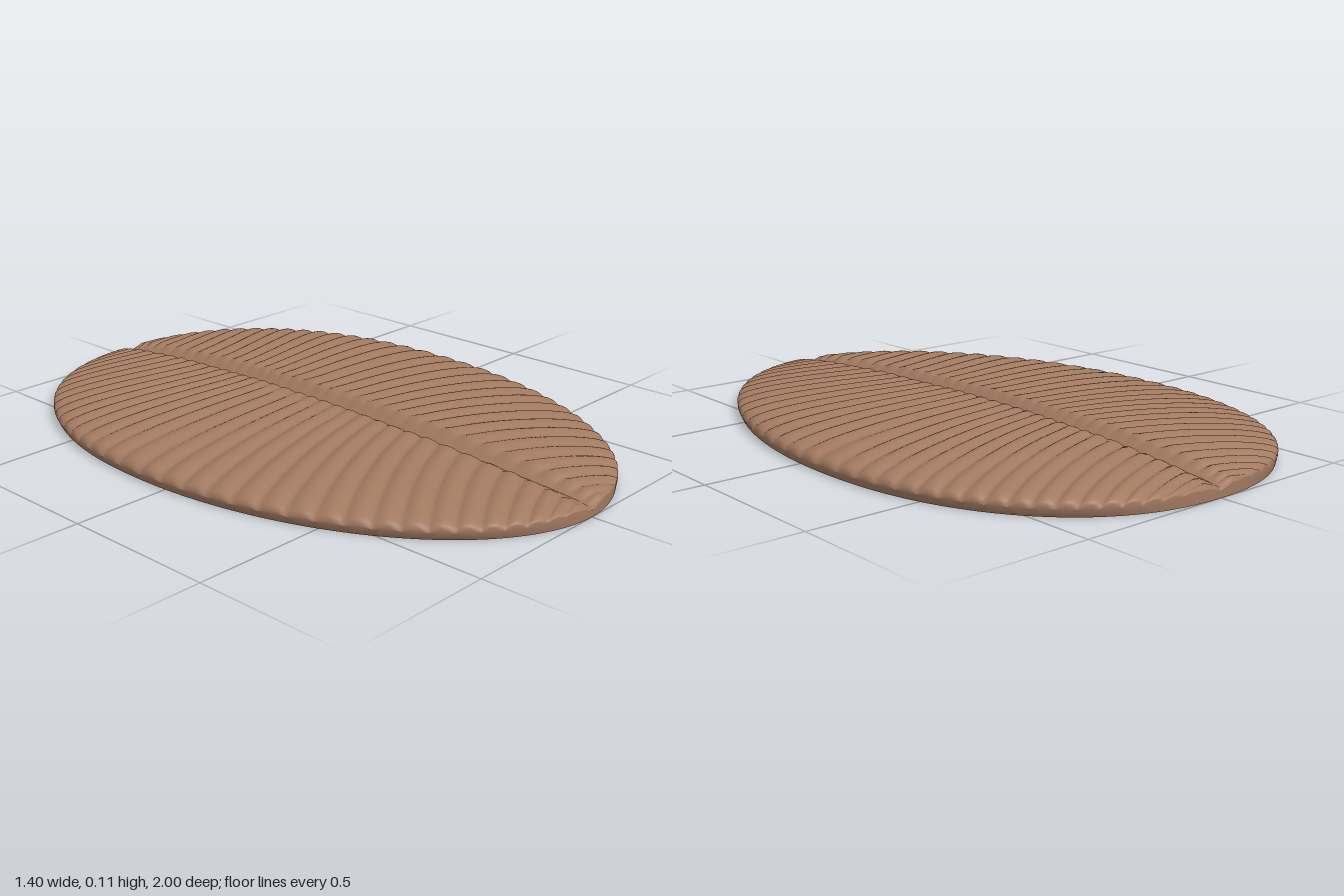
import * as THREE from 'three';

const HALF_WIDTH = 0.7, CENTRE_Z = -0.1, RIBS = 38, STEPS = 8;

// Egg outline: a longer, narrower front and a shorter, blunter back
const end = (front) => (front ? { len: 1.1, n: 1.96 } : { len: 0.9, n: 2.25 });

// Point on the plan: t runs front to back (0..1), u from midline to edge (0..1)
function plan(t, u) {
  const a = t * Math.PI, c = Math.cos(a), sign = Math.sign(c) || 1;
  const { len, n } = end(c > 0);
  const edge = Math.pow(Math.abs(c), 2 / n);
  const mid = edge * (0.62 + 0.38 * edge ** 4);
  const x = HALF_WIDTH * Math.pow(Math.max(Math.sin(a), 0), 2 / n) * u;
  // Ribs leave the midline squarely and sweep towards the ends
  const along = mid + (edge - mid) * Math.pow(u, 1.4);
  const r = Math.pow((x / HALF_WIDTH) ** n + along ** n, 1 / n);
  return { x, z: CENTRE_Z + sign * len * along, r: Math.min(r, 1) };
}

// Domed top with scalloped ribs and a V groove on the midline
function topHeight(t, u) {
  const { x, r } = plan(t, u);
  const dome = 0.035 + 0.075 * Math.sqrt(1 - r * r);
  const rib = 1 - Math.abs(Math.sin(t * RIBS * Math.PI));
  const fade = Math.min(1, u * 6) * Math.min(1, Math.sin(t * Math.PI) * 3);
  const groove = 0.4 * Math.max(0, 1 - x / 0.05);
  return (dome - 0.011 * rib * fade) * (1 - groove);
}

// Cross-section of one half: top outwards, rim, then underside back inwards
const topU = [0, 0.025, 0.05, 0.072, 0.1, 0.16, 0.24, 0.32, 0.4, 0.48, 0.56,
  0.64, 0.72, 0.79, 0.85, 0.9, 0.94, 0.97, 0.99, 1];
const underside = [[0.985, 0], [0.965, 0], [0.94, 0.012], [0.8, 0.014], [0.6, 0.013],
  [0.42, 0.01], [0.3, 0.006], [0.2, 0.005], [0.13, 0.008], [0.07, 0.014], [0.03, 0.022]];

function section(t) {
  const taper = Math.min(1, Math.sin(t * Math.PI) * 3);
  const at = (u, y) => { const p = plan(t, u); return [p.x, y, p.z]; };
  return [
    ...topU.map((u) => at(u, topHeight(t, u))),
    at(1, 0.022),
    ...underside.map(([u, y]) => at(u, y * taper)),
    at(0, topHeight(t, 0) * 0.75),
  ];
}

function halfBody(side) {
  const positions = [], index = [], cols = RIBS * STEPS;
  let rows = 0;
  for (let j = 0; j <= cols; j++) {
    const ring = section(j / cols);
    rows = ring.length;
    for (const [x, y, z] of ring) positions.push(side * x, y, z);
  }
  for (let j = 0; j < cols; j++) {
    for (let i = 0; i < rows - 1; i++) {
      const a = j * rows + i, b = a + 1, c = a + rows, d = c + 1;
      if (side > 0) index.push(a, b, c, b, d, c);
      else index.push(a, c, b, b, c, d);
    }
  }
  const geometry = new THREE.BufferGeometry();
  geometry.setAttribute('position', new THREE.Float32BufferAttribute(positions, 3));
  geometry.setIndex(index);
  geometry.computeVertexNormals();
  return geometry;
}

export function createModel() {
  const group = new THREE.Group();
  group.name = 'ribbedOvalBody';
  const skin = new THREE.MeshStandardMaterial({ color: 0xa0785f, side: THREE.DoubleSide });
  skin.name = 'dusty brown';
  for (const [name, side] of [['leftHalf', 1], ['rightHalf', -1]]) {
    const mesh = new THREE.Mesh(halfBody(side), skin);
    mesh.name = name;
    group.add(mesh);
  }
  return group;
}
